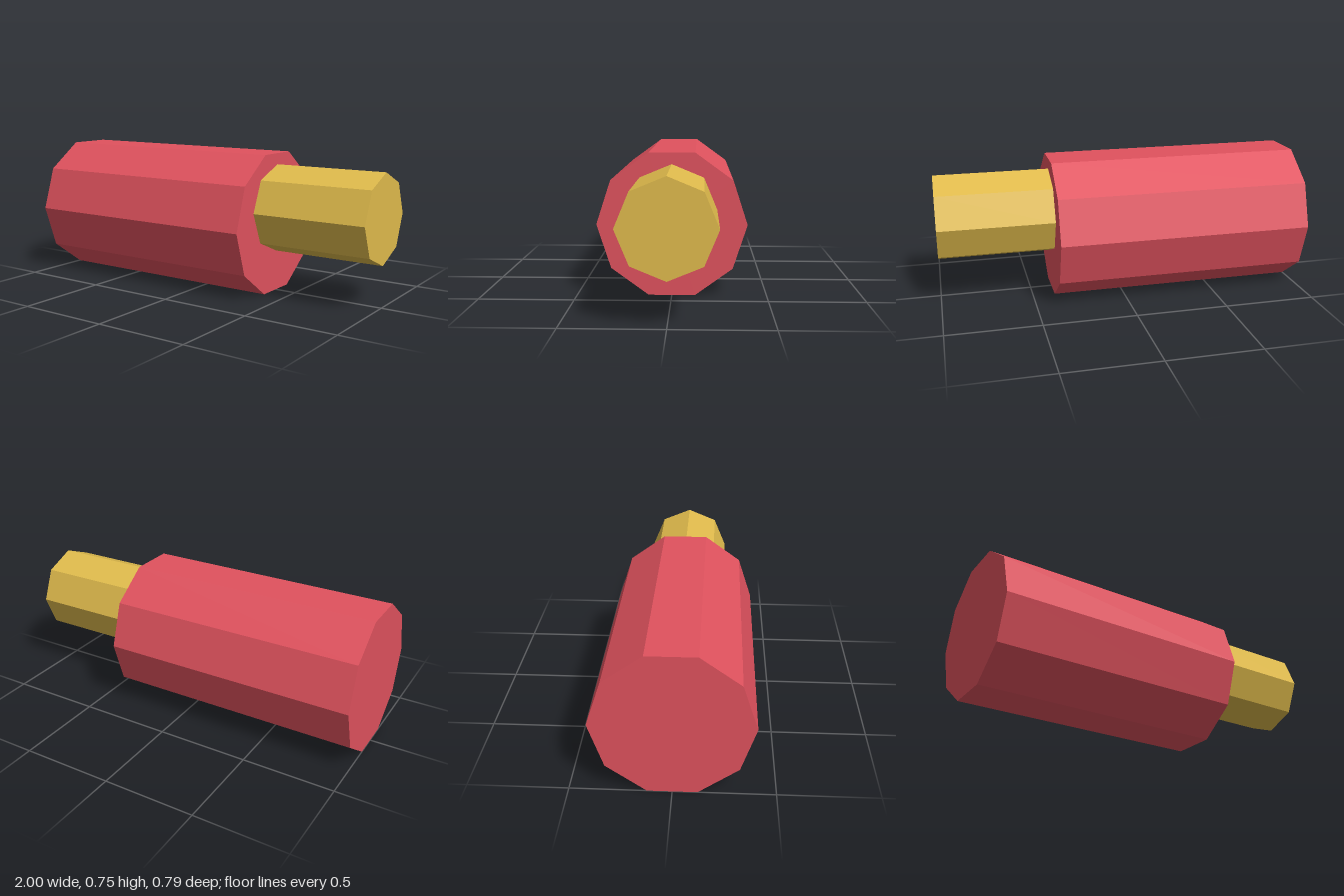
import * as THREE from 'three';

export function createModel() {
  const model = new THREE.Group();
  const red = new THREE.MeshStandardMaterial({ color: 0xe0525e, flatShading: true });
  red.name = 'red';
  const gold = new THREE.MeshStandardMaterial({ color: 0xe0bb4c, flatShading: true });
  gold.name = 'gold';

  // Faceted cylinder lying along x, from x0 to x1, with its axis at height y
  function bar(name, radius, sides, x0, x1, y, material) {
    const geometry = new THREE.CylinderGeometry(radius, radius, x1 - x0, sides);
    geometry.rotateZ(-Math.PI / 2);
    const mesh = new THREE.Mesh(geometry, material);
    mesh.name = name;
    mesh.position.set((x0 + x1) / 2, y, 0);
    model.add(mesh);
  }

  // Ten-sided body resting on a flat side
  bar('body', 0.396, 10, -1, 0.38, 0.377, red);
  // Eight-sided shaft, set above the body's axis
  bar('shaft', 0.237, 8, 0.38, 1, 0.457, gold);

  return model;
}
